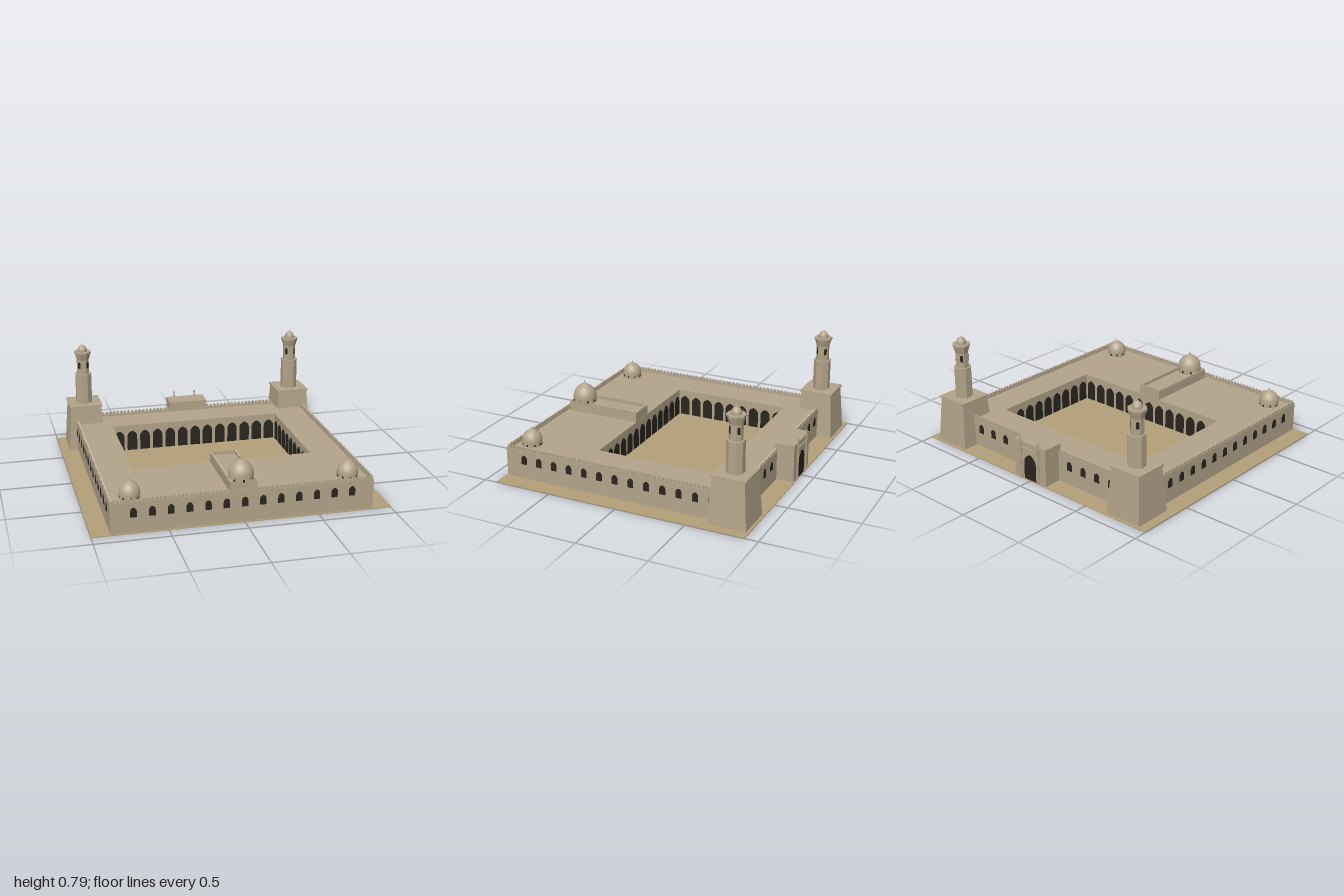
import * as THREE from 'three';
import { mergeGeometries } from 'three/addons/utils/BufferGeometryUtils.js';

const stone = new THREE.MeshStandardMaterial({ color: 0xb3a48a });
const facet = new THREE.MeshStandardMaterial({ color: 0xb3a48a, flatShading: true });
const sand = new THREE.MeshStandardMaterial({ color: 0xb3a07a });
const dark = new THREE.MeshStandardMaterial({ color: 0x2a251e });
const GROUND = 0.006, ROOF = 0.2, WALL = 0.213;
const H = Math.PI / 2;

function add(parent, name, geo, mat, x = 0, y = 0, z = 0, ry = 0) {
  const m = new THREE.Mesh(geo, mat);
  m.name = name;
  m.position.set(x, y, z);
  m.rotation.y = ry;
  parent.add(m);
  return m;
}

function box(parent, name, x0, x1, y0, y1, z0, z1, mat = stone) {
  return add(parent, name, new THREE.BoxGeometry(x1 - x0, y1 - y0, z1 - z0), mat,
    (x0 + x1) / 2, (y0 + y1) / 2, (z0 + z1) / 2);
}

// Rectangular ring standing on y = 0; each rectangle is [x0, x1, z0, z1]
function ring(outer, inner, height) {
  const pts = ([x0, x1, z0, z1]) =>
    [[x0, -z1], [x1, -z1], [x1, -z0], [x0, -z0]].map(p => new THREE.Vector2(...p));
  const s = new THREE.Shape(pts(outer));
  s.holes.push(new THREE.Path(pts(inner).reverse()));
  return new THREE.ExtrudeGeometry(s, { depth: height, bevelEnabled: false }).rotateX(-H);
}

// Pointed arch panel, base at y = 0, facing +z
function arch(w, h, depth = 0.003) {
  const s = new THREE.Shape(), r = w / 2, spring = h - w * 0.62;
  s.moveTo(-r, 0);
  s.lineTo(r, 0);
  s.lineTo(r, spring);
  s.quadraticCurveTo(r, h - w * 0.2, 0, h);
  s.quadraticCurveTo(-r, h - w * 0.2, -r, spring);
  s.closePath();
  return new THREE.ExtrudeGeometry(s, { depth, bevelEnabled: false, curveSegments: 5 });
}

// Merges copies of a geometry placed at [x, y, z, turn]
function repeat(geo, places) {
  return mergeGeometries(places.map(([x, y, z, ry]) =>
    geo.clone().rotateY(ry).translate(x, y, z)));
}

// Evenly spaced values centred on c
const spaced = (n, step, c = 0) => Array.from({ length: n }, (_, i) => c + (i - (n - 1) / 2) * step);

// Little peaked merlons along the four sides of a rectangle
function merlons([x0, x1, z0, z1], y, step, w, h) {
  const s = new THREE.Shape();
  s.moveTo(-w / 2, 0);
  s.lineTo(w / 2, 0);
  s.lineTo(w / 2, h * 0.5);
  s.lineTo(0, h);
  s.lineTo(-w / 2, h * 0.5);
  s.closePath();
  const g = new THREE.ExtrudeGeometry(s, { depth: 0.008, bevelEnabled: false }).translate(0, 0, -0.004);
  const nx = Math.round((x1 - x0) / step), nz = Math.round((z1 - z0) / step), places = [];
  for (const x of spaced(nx, (x1 - x0) / nx, (x0 + x1) / 2)) places.push([x, y, z0, 0], [x, y, z1, 0]);
  for (const z of spaced(nz, (z1 - z0) / nz, (z0 + z1) / 2)) places.push([x0, y, z, H], [x1, y, z, H]);
  return repeat(g, places);
}

function lathe(points, sides) {
  return new THREE.LatheGeometry(points.map(p => new THREE.Vector2(...p)), sides);
}

// Octagonal prism or flare with flat faces toward the axes
function octagon(rTop, rBottom, y0, y1) {
  return new THREE.CylinderGeometry(rTop, rBottom, y1 - y0, 8).rotateY(Math.PI / 8).translate(0, (y0 + y1) / 2, 0);
}

// Dome with drum, drum windows and finial; r is the dome radius
function dome(name, r, x, y, z) {
  const g = new THREE.Group();
  g.name = name;
  add(g, 'drum', octagon(r, r * 1.02, 0, r * 0.36), facet);
  const shell = [[1, 0.3], [1, 0.5], [0.97, 0.75], [0.87, 1.02], [0.7, 1.26], [0.46, 1.45], [0.2, 1.6], [0, 1.68]];
  add(g, 'domeShell', lathe(shell.map(([a, b]) => [a * r, b * r]), 24), stone);
  const places = spaced(8, Math.PI / 4).map(a => {
    const t = a + Math.PI / 8;
    return [Math.sin(t) * r * 0.93, r * 0.06, Math.cos(t) * r * 0.93, t];
  });
  add(g, 'drumWindows', repeat(arch(r * 0.16, r * 0.25, r * 0.03), places), dark);
  add(g, 'finial', lathe([[0.05, 1.62], [0.03, 1.7], [0.06, 1.76], [0.03, 1.82], [0, 1.95]]
    .map(([a, b]) => [a * r, b * r]), 8), stone);
  g.position.set(x, y, z);
  return g;
}

function minaret(name, x, z) {
  const g = new THREE.Group();
  g.name = name;
  // Tapered square base with a thin cap
  const q = Math.SQRT2;
  add(g, 'taperedBase', new THREE.CylinderGeometry(0.112 * q, 0.135 * q, 0.33, 4)
    .rotateY(Math.PI / 4).translate(0, 0.165, 0), facet);
  box(g, 'baseCap', -0.12, 0.12, 0.328, 0.34, -0.12, 0.12);
  // Lower and upper shafts
  add(g, 'lowerShaft', octagon(0.061, 0.061, 0.34, 0.555), facet);
  add(g, 'shaftCap', octagon(0.063, 0.063, 0.553, 0.56), facet);
  add(g, 'upperShaft', octagon(0.046, 0.046, 0.56, 0.69), facet);
  const places = spaced(4, H).map(a =>
    [Math.sin(a) * 0.041, 0.605, Math.cos(a) * 0.041, a]);
  add(g, 'shaftWindows', repeat(arch(0.02, 0.05), places), dark);
  // Flared crown, small dome and finial
  add(g, 'flaredCrown', octagon(0.062, 0.045, 0.665, 0.72), facet);
  add(g, 'crownRim', octagon(0.064, 0.064, 0.718, 0.73), facet);
  add(g, 'capDome', lathe([[0.034, 0.728], [0.035, 0.742], [0.031, 0.756], [0.021, 0.769], [0.009, 0.776],
    [0.004, 0.779], [0.004, 0.784], [0, 0.79]], 16), stone);
  g.position.set(x, 0, z);
  return g;
}

export function createModel() {
  const root = new THREE.Group();
  root.name = 'courtyardMosque';
  const outer = [-0.875, 0.875, -0.78, 0.9], court = [-0.625, 0.625, -0.53, 0.32];

  box(root, 'ground', -1, 1, 0, GROUND, -0.91, 0.91, sand);
  add(root, 'halls', ring(outer, court, ROOF - GROUND), stone, 0, GROUND, 0);
  add(root, 'parapet', ring(outer, [-0.86, 0.86, -0.765, 0.885], WALL - ROOF), stone, 0, ROOF, 0);
  add(root, 'parapetMerlons', merlons([-0.868, 0.868, -0.773, 0.893], WALL, 0.028, 0.021, 0.023), stone);

  // Windows in the outer walls
  const wins = [];
  for (const x of spaced(13, 0.121)) {
    wins.push([x, 0.11, 0.9, 0]);
    if (Math.abs(x) > 0.2 && Math.abs(x) < 0.65) wins.push([x, 0.11, -0.78, Math.PI]);
  }
  for (const z of spaced(13, 0.116, 0.066)) wins.push([0.875, 0.11, z, H], [-0.875, 0.11, z, -H]);
  add(root, 'outerWindows', repeat(arch(0.042, 0.066), wins), dark);

  // Arcade around the courtyard
  const arches = [];
  for (const x of spaced(13, 0.096)) arches.push([x, GROUND, -0.53, 0], [x, GROUND, 0.32, Math.PI]);
  for (const z of spaced(9, 0.0944, -0.105)) arches.push([-0.625, GROUND, z, H], [0.625, GROUND, z, -H]);
  add(root, 'courtyardArches', repeat(arch(0.073, 0.15), arches), dark);

  // Raised central aisle from the courtyard to the front
  const aisle = [-0.09, 0.09, 0.322, 0.868];
  box(root, 'aisle', -0.09, 0.09, ROOF - 0.01, 0.25, 0.322, 0.868);
  add(root, 'aisleParapet', ring(aisle, [-0.08, 0.08, 0.332, 0.858], 0.012), stone, 0, 0.25, 0);
  add(root, 'aisleMerlons', merlons([-0.085, 0.085, 0.327, 0.863], 0.262, 0.022, 0.016, 0.016), stone);

  root.add(dome('centralDome', 0.084, 0, 0.255, 0.79));
  for (const s of [-1, 1]) {
    root.add(dome(s > 0 ? 'leftDome' : 'rightDome', 0.07, s * 0.73, ROOF, 0.785));
    root.add(minaret(s > 0 ? 'leftMinaret' : 'rightMinaret', s * 0.8, -0.755));
  }

  // Rear gatehouse with an arched doorway and slim columns
  const gate = new THREE.Group();
  gate.name = 'gatehouse';
  root.add(gate);
  box(gate, 'gateBlock', -0.143, 0.143, GROUND, 0.272, -0.903, -0.76);
  add(gate, 'gateDoor', arch(0.105, 0.185), dark, 0, GROUND, -0.903, Math.PI);
  box(gate, 'gateLintel', -0.08, 0.08, 0.225, 0.235, -0.912, -0.9);
  for (const s of [-1, 1]) {
    add(gate, 'gateColumn', lathe([[0.007, GROUND], [0.007, 0.275], [0.004, 0.285], [0.007, 0.3],
      [0.003, 0.31], [0, 0.325]], 8), stone, s * 0.08, 0, -0.908);
  }
  return root;
}
